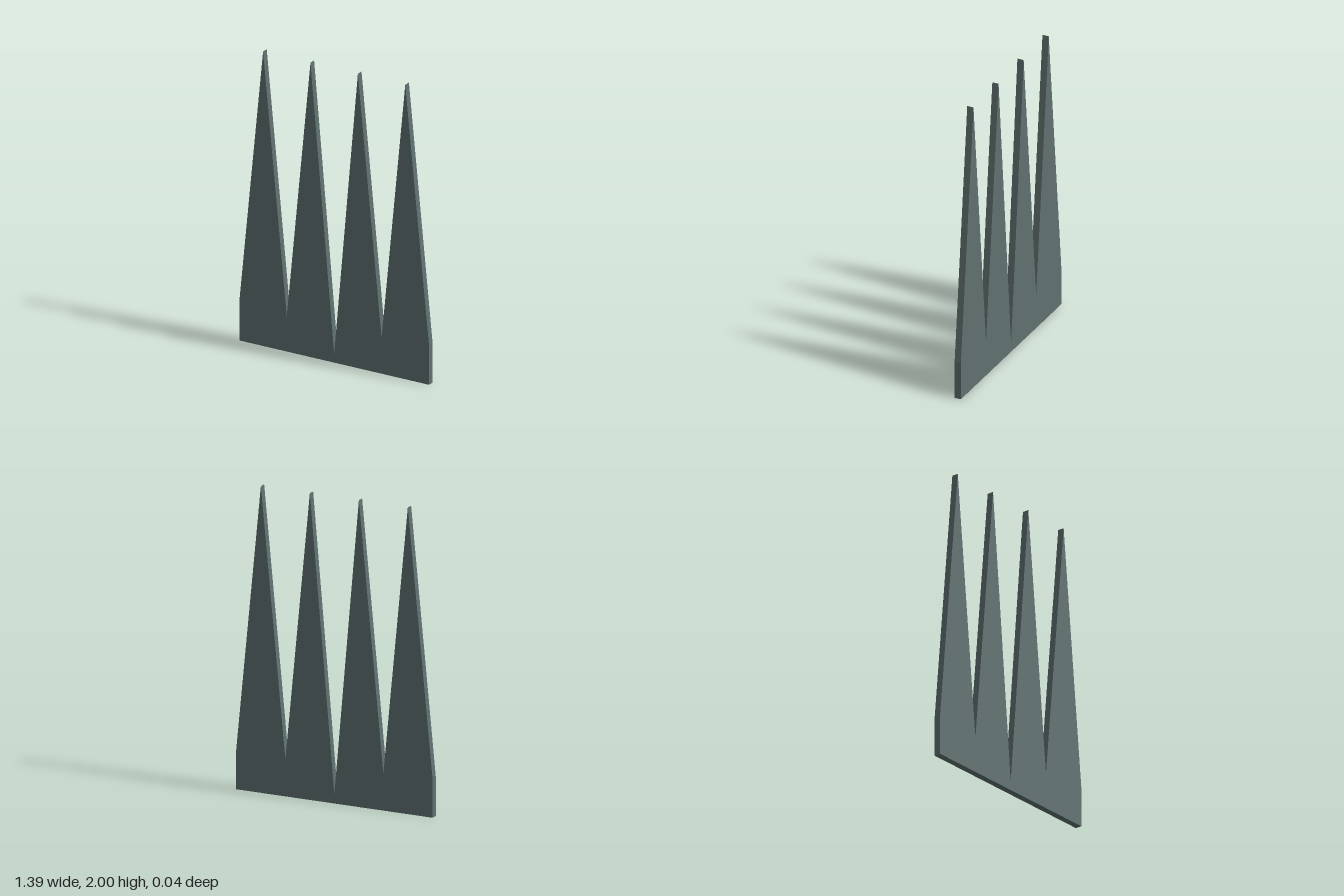
import * as THREE from 'three';

export function createModel() {
  const group = new THREE.Group();
  group.name = 'spikedPanel';

  // Left half of the outline, from the centre valley to the base corner
  const half = [
    [0, 0.06],      // deep centre notch
    [0.174, 2],     // inner spike tip
    [0.348, 0.24],  // shallow notch
    [0.522, 2],     // outer spike tip
    [0.697, 0.26],  // shoulder
    [0.697, 0],     // base corner
  ];
  const mirrored = half.slice(1).reverse().map(([x, y]) => [-x, y]);
  const outline = [...mirrored, ...half].map(([x, y]) => new THREE.Vector2(x, y));

  // Thin flat plate with four spikes
  const depth = 0.044;
  const geometry = new THREE.ExtrudeGeometry(new THREE.Shape(outline), {
    depth,
    bevelEnabled: false,
  });
  geometry.translate(0, 0, -depth / 2);

  const panel = new THREE.Mesh(geometry, new THREE.MeshStandardMaterial({ color: 0x5f7170 }));
  panel.name = 'spikes';
  group.add(panel);
  return group;
}
